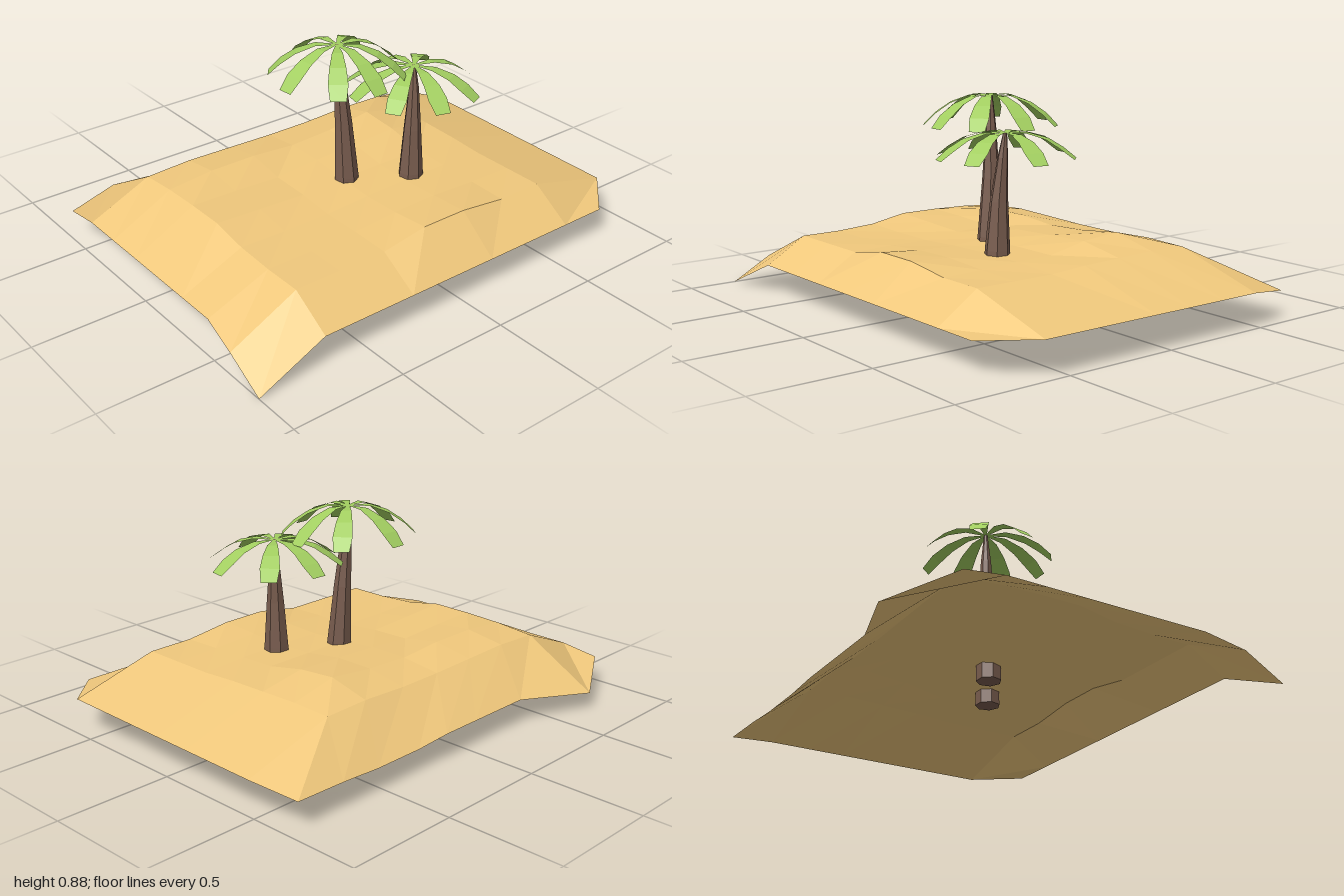
import * as THREE from 'three';

const material = (color) =>
  new THREE.MeshStandardMaterial({ color, flatShading: true, side: THREE.DoubleSide });
const sand = material(0xf0c87c);
const bark = material(0x785c4e);
const green = material(0xa2ce60);

// Sheet from rows of [x, y, z] points, with one flat normal per facet
function sheet(rows, mat, name) {
  const cols = rows[0].length;
  const index = [];
  for (let r = 0; r < rows.length - 1; r++) {
    for (let c = 0; c < cols - 1; c++) {
      const a = r * cols + c, b = a + cols;
      index.push(a, b, a + 1, a + 1, b, b + 1);
    }
  }
  const indexed = new THREE.BufferGeometry();
  indexed.setAttribute('position', new THREE.Float32BufferAttribute(rows.flat(2), 3));
  indexed.setIndex(index);
  const geometry = indexed.toNonIndexed();
  geometry.computeVertexNormals();
  const mesh = new THREE.Mesh(geometry, mat);
  mesh.name = name;
  return mesh;
}

// Sandy mound: a height grid with a drooping, uneven rim
function island() {
  const xs = [-0.69, -0.48, -0.26, -0.05, 0.16, 0.38, 0.59];
  const zs = [-0.47, -0.29, -0.11, 0.07, 0.24, 0.42, 0.6];
  const heights = [
    [0.26, 0.27, 0.265, 0.26, 0.26, 0.27, 0.265],
    [0.275, 0.295, 0.295, 0.28, 0.29, 0.315, 0.27],
    [0.28, 0.275, 0.265, 0.28, 0.29, 0.3, 0.265],
    [0.28, 0.27, 0.26, 0.265, 0.265, 0.265, 0.26],
    [0.25, 0.245, 0.245, 0.255, 0.26, 0.26, 0.25],
    [0.24, 0.24, 0.245, 0.26, 0.265, 0.255, 0.25],
    [0.24, 0.24, 0.24, 0.275, 0.275, 0.25, 0.25],
  ];
  // Back rim, with the corner pulled out on the right-hand side
  const back = [
    [-0.98, 0.12, -0.63], [-0.69, 0.075, -0.8], [-0.35, 0.11, -0.68],
    [-0.05, 0.11, -0.68], [0.13, 0.11, -0.68], [0.3, 0.1, -0.68],
    [0.53, 0.1, -0.68], [0.72, 0.11, -0.68], [0.95, 0.115, -0.68],
  ];
  const middle = zs.map((z, r) => {
    const last = r === zs.length - 1;
    return [
      last ? [-1, 0.1, 0.61] : [-0.98, 0.143, z + 0.015],
      ...xs.map((x, c) => [x, heights[r][c], z]),
      [0.997 - r * 0.002, 0.145, z],
    ];
  });
  const front = [[-1, 0, 0.79], ...xs.map((x) => [x, 0.13, 0.78]), [0.8, 0.13, 0.78]];
  return sheet([back, ...middle, front], sand, 'island');
}

// Seven-sided trunk through stations of [x, y, z, radius]
function trunk(stations) {
  const sides = 7;
  const rows = stations.map(([x, y, z, radius]) =>
    Array.from({ length: sides + 1 }, (_, i) => {
      const a = -(i / sides) * Math.PI * 2;
      return [x + radius * Math.sin(a), y, z + radius * Math.cos(a)];
    }));
  // Close both ends at their centres
  const cap = ([x, y, z]) => Array.from({ length: sides + 1 }, () => [x, y, z]);
  rows.unshift(cap(stations[0]));
  rows.push(cap(stations[stations.length - 1]));
  return sheet(rows, bark, 'trunk');
}

// Flat-bladed leaf bending down along +x; profile is [distance, drop, half width]
function leaf(profile) {
  const right = profile.map(([d, drop, w]) => [d, -drop, -w]);
  const left = profile.map(([d, drop, w]) => [d, -drop, w]);
  return sheet([right, left], green, 'leaf');
}

function palm(name, stations, profile, angles) {
  const group = new THREE.Group();
  group.name = name;
  group.add(trunk(stations));
  const [x, y, z] = stations[stations.length - 1];
  const crown = new THREE.Group();
  crown.name = 'crown';
  crown.position.set(x, y, z);
  for (const degrees of angles) {
    const blade = leaf(profile);
    blade.rotation.y = -THREE.MathUtils.degToRad(degrees);
    crown.add(blade);
  }
  group.add(crown);
  return group;
}

export function createModel() {
  const model = new THREE.Group();
  model.name = 'palmIsland';
  model.add(island());

  model.add(palm('tallPalm',
    [[-0.028, 0.2, 0.068, 0.055], [-0.028, 0.28, 0.068, 0.053], [-0.035, 0.53, 0.055, 0.038],
      [-0.048, 0.75, 0.045, 0.023], [-0.055, 0.88, 0.04, 0.008]],
    [[0, 0, 0.004], [0.09, 0, 0.022], [0.17, 0.03, 0.034], [0.235, 0.075, 0.041], [0.285, 0.125, 0.033]],
    [5, 49, 90, 127, 175, 219, 270, 322]));

  model.add(palm('shortPalm',
    [[0.212, 0.2, 0.212, 0.055], [0.212, 0.28, 0.212, 0.053], [0.218, 0.48, 0.208, 0.038],
      [0.23, 0.66, 0.198, 0.022], [0.235, 0.76, 0.19, 0.008]],
    [[0, 0, 0.004], [0.09, 0, 0.022], [0.17, 0.022, 0.034], [0.23, 0.058, 0.041], [0.285, 0.1, 0.033]],
    [9, 65, 106, 148, 192, 232, 274, 318]));

  return model;
}
